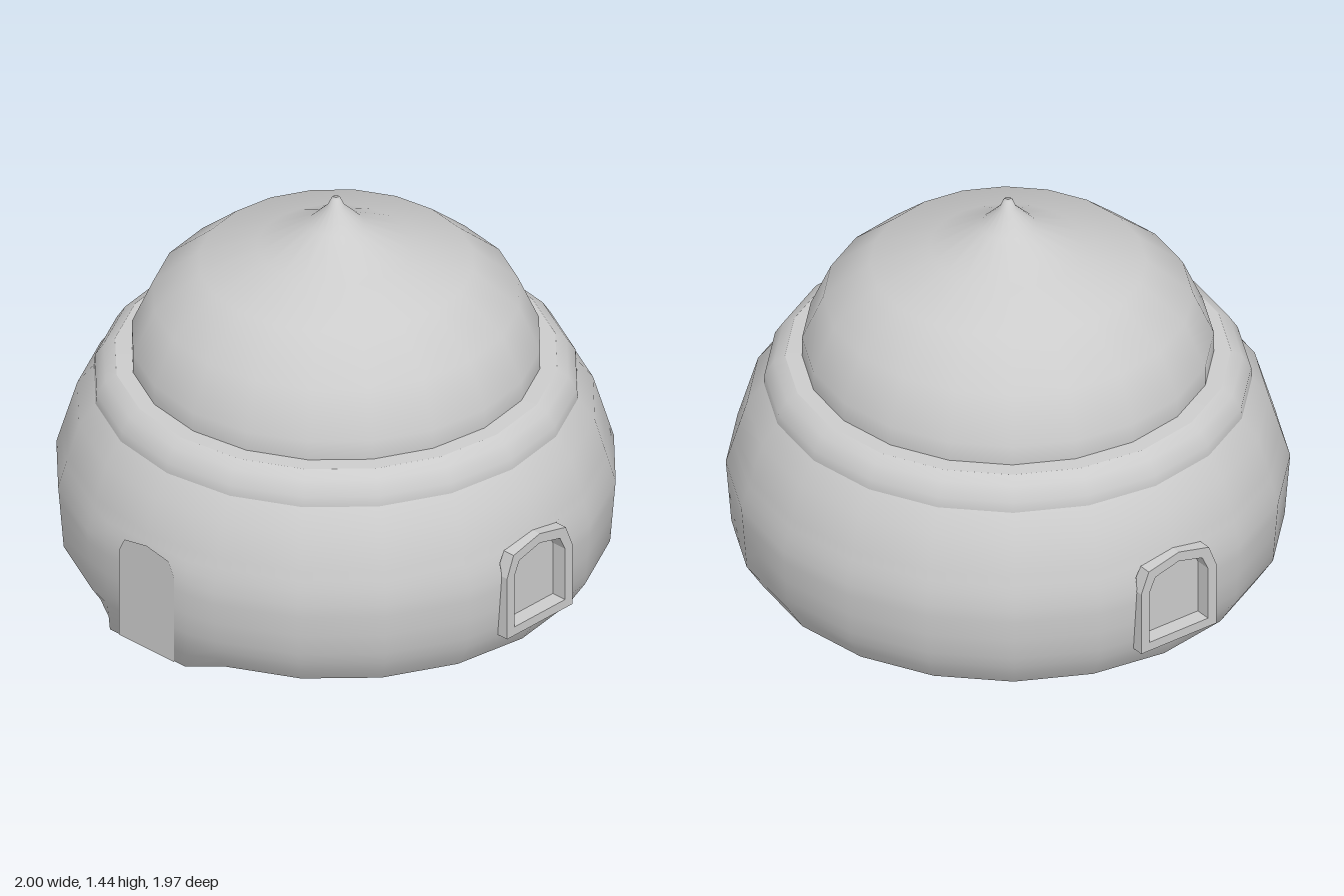
import * as THREE from 'three';

const material = new THREE.MeshStandardMaterial({ color: 0xcccccc, side: THREE.DoubleSide });
const SIDES = 20;
const STEP = (Math.PI * 2) / SIDES;

// wall outline as [height, radius]
const wallProfile = [[0, 0.915], [0.1, 0.98], [0.35, 1], [0.6, 0.925], [0.68, 0.865]];

function wallRadius(y) {
  for (let i = 1; i < wallProfile.length; i++) {
    const [y0, r0] = wallProfile[i - 1];
    const [y1, r1] = wallProfile[i];
    if (y <= y1) return r0 + ((r1 - r0) * (y - y0)) / (y1 - y0);
  }
  return wallProfile[wallProfile.length - 1][1];
}

function add(parent, name, geometry) {
  const mesh = new THREE.Mesh(geometry, material);
  mesh.name = name;
  parent.add(mesh);
  return mesh;
}

function lathe(parent, name, points) {
  return add(parent, name, new THREE.LatheGeometry(points.map(([r, y]) => new THREE.Vector2(r, y)), SIDES));
}

// Twenty-sided wall with extra columns around the door and windows
function wallGeometry() {
  const vertex = (k) => [Math.sin(k * STEP), Math.cos(k * STEP)];
  const slope = (1 - Math.cos(STEP)) / Math.sin(STEP);
  const near = [0, 0.06, 0.105, 0.135, 0.165, 0.2].map((s) => [s, 1 - slope * s]);
  const half = [...near, vertex(1), vertex(2)];
  const columns = [...half.slice(1).reverse().map(([s, d]) => [-s, d]), ...half];
  const rows = [0, 0.05, 0.1, 0.14, 0.22, 0.3, 0.35, 0.4, 0.44, 0.47, 0.6, 0.68];
  const count = columns.length * 4;
  const positions = [], normals = [], index = [];

  rows.forEach((y, j) => {
    const r = wallRadius(y);
    const lo = Math.max(0, y - 0.08), hi = Math.min(0.68, y + 0.08);
    const ny = -(wallRadius(hi) - wallRadius(lo)) / (hi - lo);
    for (let i = 0; i < count; i++) {
      const quarter = Math.floor(i / columns.length);
      const [s, d] = columns[i % columns.length];
      const side = s * r;
      let out = d * r;
      // flat front around the door, recess behind each window pane
      if (quarter === 0 && Math.abs(s) < 0.21 && y < 0.45) out = 0.966;
      if (quarter % 2 === 1 && Math.abs(s) < 0.14 && y > 0.13 && y < 0.41) out = Math.min(out, 0.93);
      const a = (quarter * Math.PI) / 2, c = Math.cos(a), n = Math.sin(a);
      positions.push(side * c + out * n, y, out * c - side * n);
      const normal = new THREE.Vector3(s * c + d * n, ny, d * c - s * n).normalize();
      normals.push(normal.x, normal.y, normal.z);
      if (j > 0) {
        const p = (j - 1) * count, q = j * count, k = (i + 1) % count;
        index.push(p + i, p + k, q + k, p + i, q + k, q + i);
      }
    }
  });
  const geometry = new THREE.BufferGeometry();
  geometry.setAttribute('position', new THREE.Float32BufferAttribute(positions, 3));
  geometry.setAttribute('normal', new THREE.Float32BufferAttribute(normals, 3));
  geometry.setIndex(index);
  return geometry;
}

// Opening with bevelled shoulders and a low peak
function archPoints(w, bottom, spring, shoulder, top) {
  const k = w * 0.8;
  return [[-w, bottom], [w, bottom], [w, spring], [k, shoulder], [0, top], [-k, shoulder], [-w, spring]]
    .map(([x, y]) => new THREE.Vector2(x, y));
}

function createWindow(name) {
  const group = new THREE.Group();
  group.name = name;
  const inner = archPoints(0.13, 0.14, 0.35, 0.405, 0.432);
  const outline = new THREE.Shape(archPoints(0.167, 0.105, 0.355, 0.438, 0.47));
  outline.holes.push(new THREE.Path(inner));
  const frame = add(group, 'windowFrame', new THREE.ExtrudeGeometry(outline, { depth: 0.08, bevelEnabled: false }));
  frame.position.z = 0.92;
  const pane = add(group, 'windowPane', new THREE.ShapeGeometry(new THREE.Shape(inner)));
  pane.position.z = 0.94;
  return group;
}

export function createModel() {
  const model = new THREE.Group();
  model.name = 'domedHut';
  const hut = new THREE.Group();
  hut.name = 'hut';
  hut.position.z = 0.015;
  model.add(hut);

  add(hut, 'wall', wallGeometry());

  // rounded band and flat ledge on top of the wall
  lathe(hut, 'roofBand', [[0.865, 0.68], [0.862, 0.72], [0.83, 0.77], [0.79, 0.793]]);
  lathe(hut, 'roofLedge', [[0.79, 0.793], [0.73, 0.795]]);

  // dome sweeping up to a pointed tip
  lathe(hut, 'domeRoof', [
    [0.73, 0.795], [0.73, 0.87], [0.655, 1.04], [0.49, 1.18], [0.28, 1.245],
    [0.1, 1.34], [0.03, 1.41], [0.016, 1.442], [0, 1.442],
  ]);

  // door panel
  const door = add(hut, 'door', new THREE.ShapeGeometry(new THREE.Shape(archPoints(0.135, 0, 0.35, 0.405, 0.425))));
  door.position.z = 0.97;

  // windows on both sides
  for (const side of [1, -1]) {
    const win = createWindow(side > 0 ? 'leftWindow' : 'rightWindow');
    win.rotation.y = (side * Math.PI) / 2;
    hut.add(win);
  }
  return model;
}
